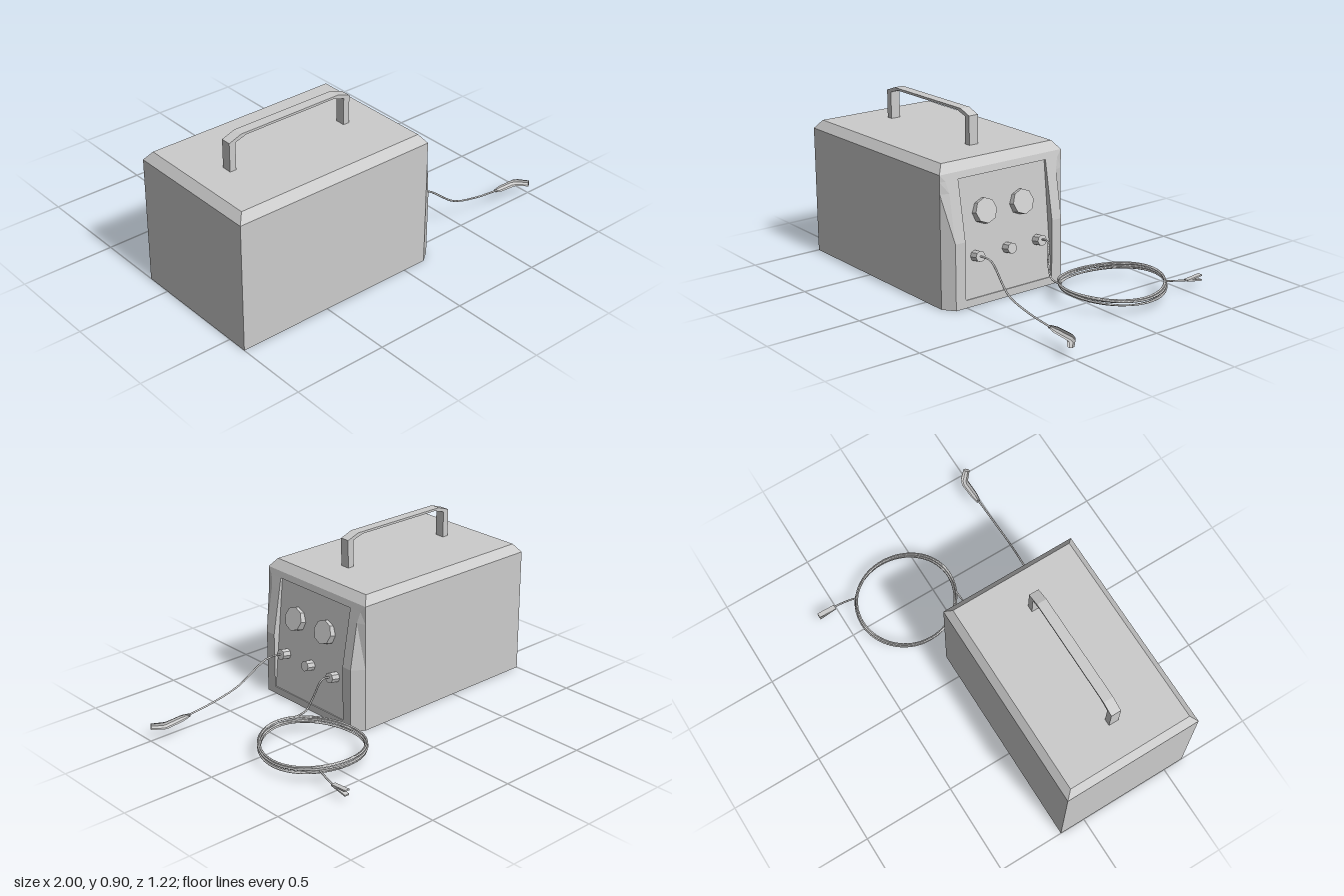
import * as THREE from 'three';

const V = (x, y, z) => new THREE.Vector3(x, y, z);
const mat = new THREE.MeshStandardMaterial({ color: 0xcccccc, flatShading: true });
const smooth = new THREE.MeshStandardMaterial({ color: 0xcccccc });

function add(parent, name, geometry, material = mat) {
  const mesh = new THREE.Mesh(geometry, material);
  mesh.name = name;
  parent.add(mesh);
  return mesh;
}

// Collects convex polygons (counter-clockwise from outside) into one geometry
function polygonGeometry(polygons) {
  const pos = [];
  for (const p of polygons) {
    for (let i = 1; i < p.length - 1; i++) {
      const tri = [p[0], p[i], p[i + 1]];
      if (new THREE.Triangle(...tri).getArea() < 1e-7) continue;
      tri.forEach(v => pos.push(v.x, v.y, v.z));
    }
  }
  const g = new THREE.BufferGeometry();
  g.setAttribute('position', new THREE.Float32BufferAttribute(pos, 3));
  g.computeVertexNormals();
  return g;
}

// Case: stacked sections with chamfered control end and a recessed sloping panel
function caseGeometry() {
  const H = 0.27; // half width of the recess
  // y, back x, chamfer x, front x, half width, half width of front
  const rows = [
    [0, -1, 0.13, 0.19, 0.375, 0.33],
    [0.04, -1, 0.13, 0.19, 0.375, 0.33],
    [0.34, -1, 0.13, 0.19, 0.375, 0.33],
    [0.585, -1, 0.13, 0.147, 0.375, 0.33],
    [0.645, -1, 0.13, 0.136, 0.375, 0.345],
    [0.68, -1, 0.13, 0.13, 0.375, 0.375],
    [0.725, -0.965, 0.095, 0.095, 0.34, 0.34],
  ];
  const rings = rows.map(([y, b, c, f, h, w]) => [
    V(b, y, -h), V(c, y, -h), V(f, y, -w), V(f, y, w), V(c, y, h), V(b, y, h)]);
  const panelX = y => 0.185 - 0.06 * (y - 0.04) / 0.605;
  const faces = [rings[0], [...rings[6]].reverse()];
  for (let r = 0; r < 6; r++) {
    const a = rings[r], u = rings[r + 1];
    for (let i = 0; i < 6; i++) {
      const j = (i + 1) % 6;
      if (i !== 2 || r < 1 || r > 3) {
        faces.push([a[i], u[i], u[j], a[j]]);
        continue;
      }
      // Frame strips beside the opening, recess side walls and panel
      const at = (row, z) => V(row[3], row[0], z);
      const inn = (row, z) => V(panelX(row[0]), row[0], z);
      const lo = rows[r], up = rows[r + 1];
      faces.push(
        [a[2], u[2], at(up, -H), at(lo, -H)],
        [at(lo, H), at(up, H), u[3], a[3]],
        [inn(lo, -H), at(lo, -H), at(up, -H), inn(up, -H)],
        [at(lo, H), inn(lo, H), inn(up, H), at(up, H)],
        [inn(lo, -H), inn(up, -H), inn(up, H), inn(lo, H)]);
    }
  }
  // Sill and lintel of the recess
  const ledge = (y, f) => [V(panelX(y), y, -H), V(panelX(y), y, H), V(f, y, H), V(f, y, -H)];
  faces.push(ledge(0.04, 0.19), ledge(0.645, 0.136).reverse());
  return polygonGeometry(faces);
}

// Tube with a radius for every point, closed by zero radii at the ends
function taperedTube(points, radii, sides = 8, flatten = 0.85) {
  const rings = points.map((p, i) => {
    const t = points[Math.min(i + 1, points.length - 1)].clone()
      .sub(points[Math.max(i - 1, 0)]).normalize();
    const side = t.clone().cross(V(0, 1, 0)).normalize();
    const up = side.clone().cross(t);
    return Array.from({ length: sides }, (_, k) => {
      const a = (k + 0.5) / sides * Math.PI * 2;
      return p.clone().addScaledVector(side, Math.cos(a) * radii[i])
        .addScaledVector(up, Math.sin(a) * radii[i] * flatten);
    });
  });
  const faces = [];
  for (let i = 0; i < rings.length - 1; i++) {
    for (let k = 0; k < sides; k++) {
      const n = (k + 1) % sides;
      faces.push([rings[i][k], rings[i][n], rings[i + 1][n], rings[i + 1][k]]);
    }
  }
  return polygonGeometry(faces);
}

const cable = (points, segments = 24) => new THREE.TubeGeometry(
  new THREE.CatmullRomCurve3(points, false, 'centripetal'), segments, 0.005, 6);

// Coil: several slightly wandering turns, sagging like a saddle
class CoilCurve extends THREE.Curve {
  getPoint(t, target = new THREE.Vector3()) {
    const a = (115 - t * (170 + 360 * 5)) * Math.PI / 180;
    const wander = 0.006 * Math.sin(a * 0.63 + 1);
    const y = 0.066 - 0.011 * Math.cos(2 * a) + 0.014 * Math.sin(a * 0.41 + 0.5);
    return target.set(0.503 + (0.257 + wander) * Math.cos(a), y, -0.165 + (0.27 + wander) * Math.sin(a));
  }
}

export function createModel() {
  const model = new THREE.Group();
  model.name = 'weldingMachine';

  // Case and carrying handle
  const unit = new THREE.Group();
  unit.name = 'powerUnit';
  unit.position.z = 0.235;
  model.add(unit);
  add(unit, 'case', caseGeometry());

  const outline = [
    [-0.8, 0.72], [-0.765, 0.72], [-0.765, 0.868], [-0.7, 0.888], [-0.18, 0.888], [-0.115, 0.868],
    [-0.115, 0.72], [-0.08, 0.72], [-0.08, 0.875], [-0.15, 0.9], [-0.73, 0.9], [-0.8, 0.875]];
  const handle = new THREE.ExtrudeGeometry(
    new THREE.Shape(outline.map(p => new THREE.Vector2(...p))), { depth: 0.054, bevelEnabled: false });
  add(unit, 'carryHandle', handle).position.z = 0.013 - 0.027;

  // Knobs and sockets, tilted with the panel
  const dial = (name, r, length, x, y, z, tilt) => {
    const m = add(unit, name, new THREE.CylinderGeometry(r, r, length, 8));
    m.position.set(x, y, z);
    m.rotation.z = tilt - Math.PI / 2;
  };
  for (const z of [-0.1, 0.13]) dial('controlKnob', 0.064, 0.06, 0.146, 0.462, z, 0.27);
  for (const z of [-0.19, 0, 0.195]) dial('cableSocket', 0.028, 0.06, 0.182, 0.252, z, 0.17);

  // Torch lead with bent torch
  add(model, 'torchCable', cable([
    V(0.2, 0.257, 0.43), V(0.3, 0.258, 0.435), V(0.47, 0.145, 0.465),
    V(0.62, 0.105, 0.47), V(0.79, 0.083, 0.47)]), smooth);
  const torch = [
    V(0.78, 0.083, 0.468), V(0.781, 0.083, 0.468), V(0.825, 0.081, 0.468), V(0.92, 0.075, 0.466),
    V(0.94, 0.074, 0.474), V(0.985, 0.07, 0.515), V(0.986, 0.07, 0.516)];
  add(model, 'torch', taperedTube(torch, [0, 0.01, 0.019, 0.021, 0.021, 0.018, 0]));

  // Earth lead, coil and clamp
  const coil = new CoilCurve();
  const start = coil.getPoint(0), end = coil.getPoint(1);
  add(model, 'earthCable', cable([
    V(0.2, 0.26, 0.045), V(0.255, 0.262, 0.046), V(0.295, 0.16, 0.075), V(0.33, 0.1, 0.085), start]), smooth);
  add(model, 'cableCoil', new THREE.TubeGeometry(coil, 360, 0.005, 6), smooth);
  add(model, 'clampCable', cable([end, V(0.66, 0.064, -0.42), V(0.675, 0.052, -0.5), V(0.675, 0.05, -0.52)]), smooth);
  const clamp = new THREE.Group();
  clamp.name = 'earthClamp';
  clamp.position.set(0.673, 0.05, -0.51);
  model.add(clamp);
  for (const tilt of [0.08, -0.18]) {
    const jaw = new THREE.BoxGeometry(0.026, 0.008, 0.1);
    jaw.translate(0, 0, -0.05);
    add(clamp, 'clampJaw', jaw).rotation.x = tilt;
  }
  return model;
}
